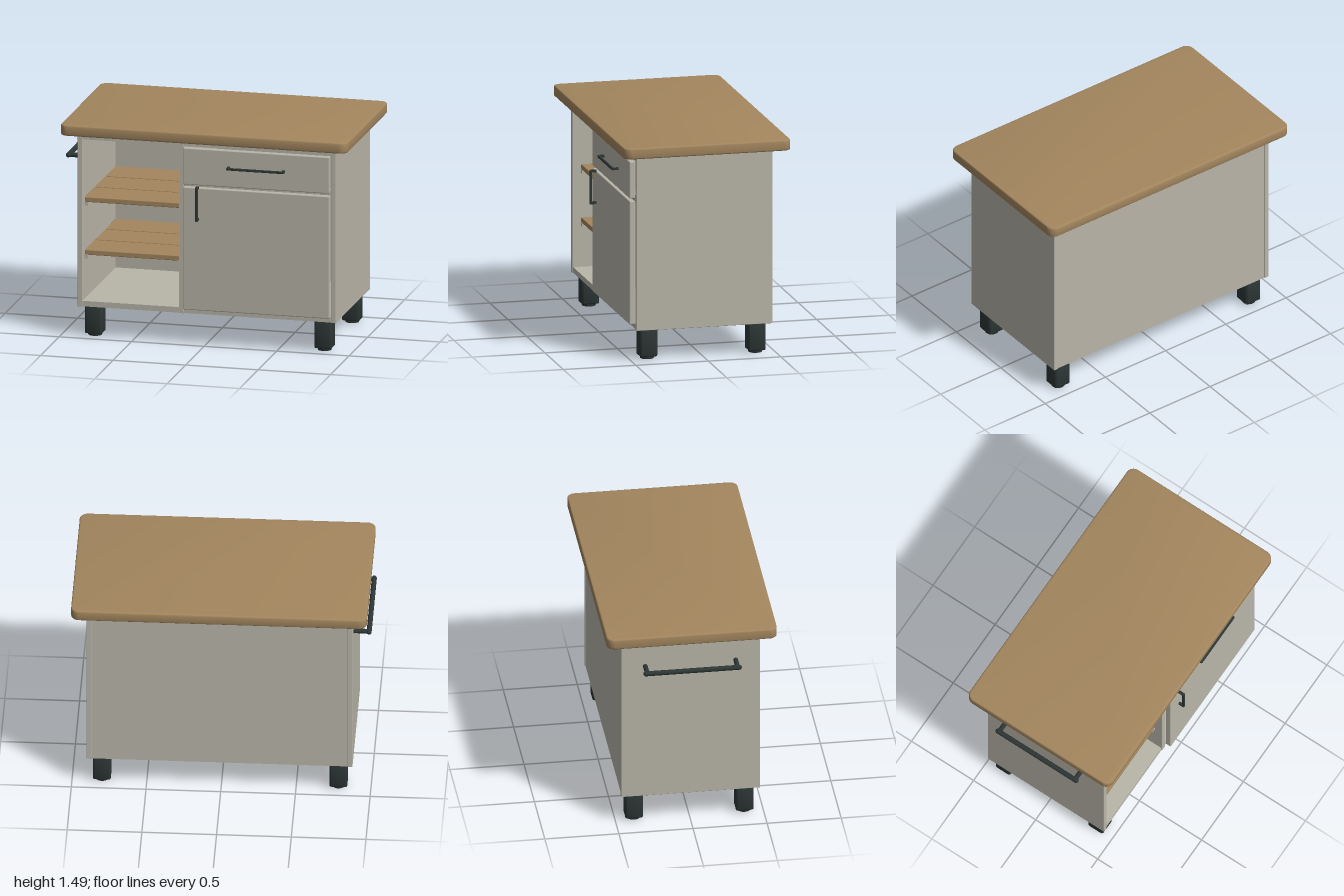
import * as THREE from 'three';
import { toCreasedNormals } from 'three/addons/utils/BufferGeometryUtils.js';
import { RoundedBoxGeometry } from 'three/addons/geometries/RoundedBoxGeometry.js';

const material = (name, color) => {
  const m = new THREE.MeshStandardMaterial({ color });
  m.name = name;
  return m;
};

// Rounded rectangle outline centred on the origin
function roundedRect(w, h, r) {
  const s = new THREE.Shape();
  const x = w / 2, y = h / 2, q = Math.PI / 2;
  s.absarc(x - r, y - r, r, 0, q);
  s.absarc(r - x, y - r, r, q, 2 * q);
  s.absarc(r - x, r - y, r, 2 * q, 3 * q);
  s.absarc(x - r, r - y, r, 3 * q, 4 * q);
  s.closePath();
  return s;
}

// Upright slab with rounded corners and softened edges, standing on y = 0
function slab(w, h, d, r, bevel) {
  const g = new THREE.ExtrudeGeometry(roundedRect(w - 2 * bevel, d - 2 * bevel, r - bevel), {
    depth: h - 2 * bevel, bevelEnabled: true, bevelSize: bevel,
    bevelThickness: bevel, bevelSegments: 3, curveSegments: 8,
  });
  g.rotateX(-Math.PI / 2).translate(0, bevel, 0);
  return toCreasedNormals(g, 0.6);
}

export function createModel() {
  const model = new THREE.Group();
  model.name = 'kitchenIsland';
  const paint = material('greigePaint', 0xb9b5a9);
  const wood = material('oakWood', 0xa3865e);
  const metal = material('blackMetal', 0x2d3636);

  const add = (name, geometry, mat, x = 0, y = 0, z = 0, parent = model) => {
    const mesh = new THREE.Mesh(geometry, mat);
    mesh.name = name;
    mesh.position.set(x, y, z);
    parent.add(mesh);
    return mesh;
  };
  // Box given by its limits on each axis, with an optional edge radius
  const box = (name, mat, [x0, x1], [y0, y1], [z0, z1], r = 0) => {
    const size = [x1 - x0, y1 - y0, z1 - z0];
    const g = r ? new RoundedBoxGeometry(...size, 2, r) : new THREE.BoxGeometry(...size);
    return add(name, g, mat, (x0 + x1) / 2, (y0 + y1) / 2, (z0 + z1) / 2);
  };

  // Worktop
  add('worktop', slab(1.98, 0.073, 1.15, 0.055, 0.01), wood, 0.01, 1.412, 0);

  // Carcass
  const high = [0.21, 1.402], deep = [-0.467, 0.47];
  box('rightSidePanel', paint, [-0.88, -0.847], high, deep, 0.003);
  box('leftSidePanel', paint, [0.867, 0.9], high, deep, 0.003);
  box('divider', paint, [-0.183, -0.148], high, [-0.43, 0.469], 0.003);
  box('backPanel', paint, [-0.847, 0.867], [0.212, 1.402], [-0.462, -0.43]);
  box('bottomPanel', paint, [-0.847, 0.867], [0.212, 0.25], [-0.43, 0.464]);
  box('topPanel', paint, [-0.847, 0.867], [1.367, 1.405], [-0.43, 0.464]);
  box('worktopSpacer', paint, [-0.84, 0.86], [1.404, 1.413], [-0.42, 0.42]);

  // Slatted shelves resting on cleats
  for (const y of [0.555, 0.92]) {
    for (let i = 0; i < 3; i++) {
      const front = 0.41 - i * 0.282;
      box('shelfSlat', wood, [-0.846, -0.19], [y, y + 0.035], [front - 0.265, front], 0.005);
    }
    for (const x of [-0.847, -0.208])
      box('shelfCleat', paint, [x, x + 0.025], [y - 0.026, y], [-0.43, 0.41]);
  }

  // Door and drawer fronts
  box('drawerFront', paint, [-0.142, 0.866], [1.113, 1.366], [0.47, 0.51], 0.007);
  box('door', paint, [-0.142, 0.866], [0.248, 1.095], [0.47, 0.51], 0.007);
  box('drawerRail', paint, [-0.148, 0.867], [1.08, 1.13], [0.43, 0.465]);

  // Bar handles: a bar on two posts
  const pull = (name, length, t, x, y, z) => {
    const group = new THREE.Group();
    group.name = name;
    group.position.set(x, y, z);
    add('bar', new RoundedBoxGeometry(length, t, t, 2, t * 0.25), metal, 0, 0, 0.047 - t / 2, group);
    for (const s of [-1, 1])
      add('post', new THREE.BoxGeometry(t, t, 0.04), metal, s * (length - t) / 2, 0, 0.02, group);
    model.add(group);
    return group;
  };
  pull('drawerHandle', 0.395, 0.016, 0.363, 1.249, 0.508);
  pull('doorHandle', 0.235, 0.017, -0.041, 0.989, 0.508).rotation.z = Math.PI / 2;

  // Towel rail on the right side
  const rail = new THREE.Group();
  rail.name = 'towelRail';
  rail.position.set(-0.88, 1.212, 0);
  const barGeometry = new THREE.CapsuleGeometry(0.017, 0.63, 4, 16).rotateX(Math.PI / 2);
  add('railBar', barGeometry, metal, -0.103, 0, 0, rail);
  for (const z of [-0.305, 0.305])
    add('railPost', new THREE.CylinderGeometry(0.016, 0.016, 0.105, 16).rotateZ(Math.PI / 2),
      metal, -0.0515, 0, z, rail);
  model.add(rail);

  // Square legs with round feet
  const legGeometry = slab(0.12, 0.194, 0.12, 0.016, 0.008);
  const footGeometry = new THREE.CylinderGeometry(0.05, 0.046, 0.02, 24);
  for (const x of [-0.783, 0.8])
    for (const z of [-0.373, 0.373]) {
      add('leg', legGeometry, metal, x, 0.018, z);
      add('foot', footGeometry, metal, x, 0.01, z);
    }

  return model;
}
